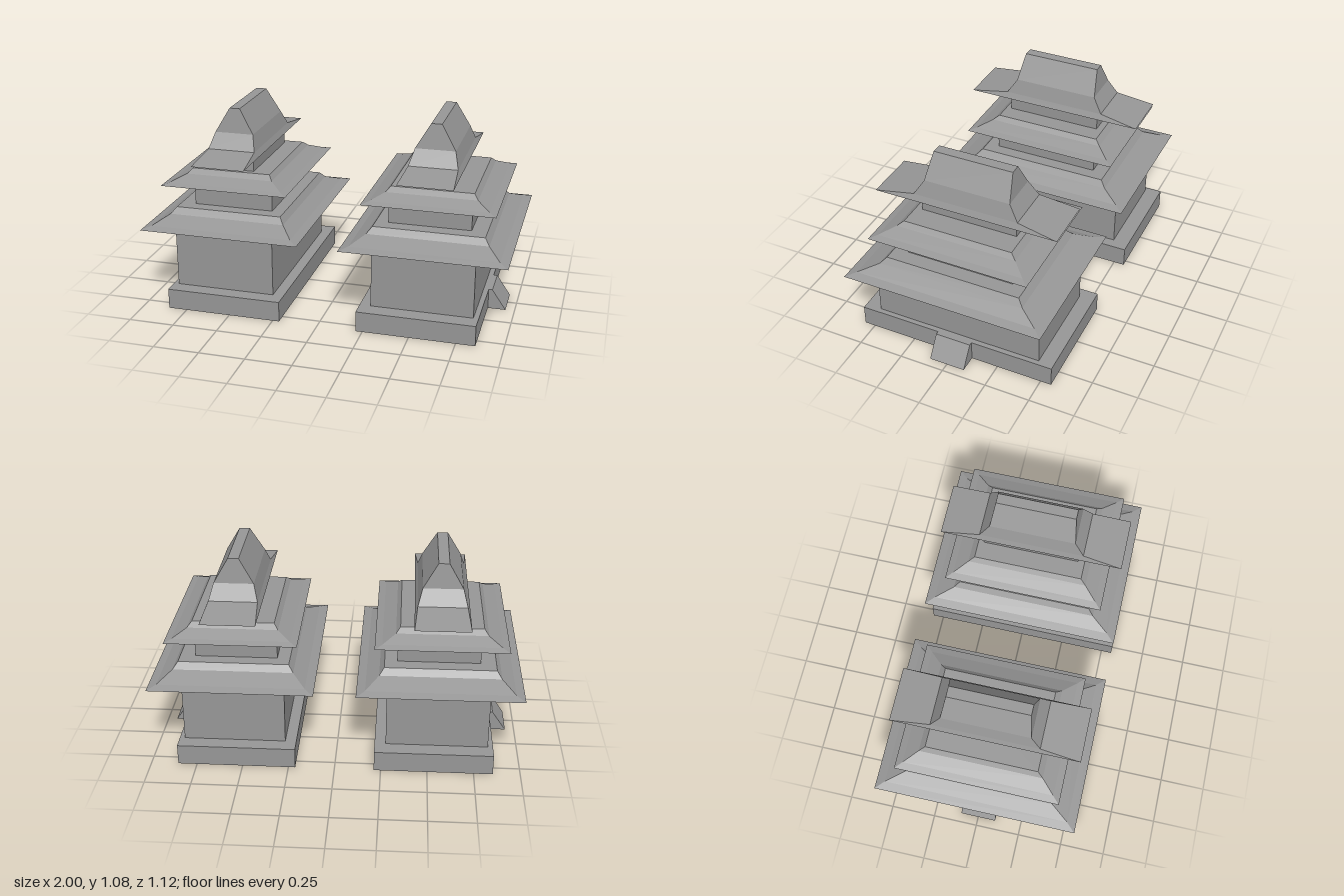
import * as THREE from 'three';

const material = new THREE.MeshStandardMaterial({ color: 0x969696, flatShading: true });

function addMesh(group, name, geometry, x = 0, y = 0, z = 0) {
  const mesh = new THREE.Mesh(geometry, material);
  mesh.name = name;
  mesh.position.set(x, y, z);
  group.add(mesh);
}

// Closed solid through stacked rectangles, each [halfWidth, halfDepth, y]
function loftRects(levels) {
  const positions = [];
  const index = [];
  for (const [w, d, y] of levels) {
    positions.push(-w, y, d, w, y, d, w, y, -d, -w, y, -d);
  }
  for (let l = 0; l < levels.length - 1; l++) {
    for (let i = 0; i < 4; i++) {
      const a = l * 4 + i, b = l * 4 + (i + 1) % 4;
      index.push(a, b, b + 4, a, b + 4, a + 4);
    }
  }
  const t = (levels.length - 1) * 4;
  index.push(0, 2, 1, 0, 3, 2, t, t + 1, t + 2, t, t + 2, t + 3);
  const indexed = new THREE.BufferGeometry();
  indexed.setAttribute('position', new THREE.Float32BufferAttribute(positions, 3));
  indexed.setIndex(index);
  const geometry = indexed.toNonIndexed();
  geometry.computeVertexNormals();
  return geometry;
}

function createTower() {
  const tower = new THREE.Group();

  // Plinth and storeys: x range, y range, depth, z centre
  const blocks = [
    ['plinth', 0.213, 0.853, 0, 0.113, 1.12, 0],
    ['lowerStorey', 0.273, 0.825, 0.113, 0.45, 0.946, -0.004],
    ['middleStorey', 0.325, 0.773, 0.52, 0.675, 0.606, -0.003],
    ['upperStorey', 0.437, 0.655, 0.73, 0.825, 0.54, -0.003],
  ];
  for (const [name, x0, x1, y0, y1, depth, z] of blocks) {
    addMesh(tower, name, new THREE.BoxGeometry(x1 - x0, y1 - y0, depth), (x0 + x1) / 2, (y0 + y1) / 2, z);
  }

  // Entrance ramp on the outer side of the plinth
  const ramp = new THREE.Shape([
    new THREE.Vector2(0.853, 0), new THREE.Vector2(0.95, 0),
    new THREE.Vector2(0.873, 0.113), new THREE.Vector2(0.853, 0.113),
  ]);
  addMesh(tower, 'entranceRamp', new THREE.ExtrudeGeometry(ramp, { depth: 0.2, bevelEnabled: false }), 0, 0, -0.1);

  // Flared hip roofs
  addMesh(tower, 'lowerRoof', loftRects([
    [0.444, 0.557, 0.446], [0.397, 0.508, 0.46], [0.326, 0.409, 0.5], [0.3, 0.378, 0.533],
  ]), 0.556);
  addMesh(tower, 'middleRoof', loftRects([
    [0.355, 0.445, 0.673], [0.316, 0.407, 0.685], [0.245, 0.335, 0.717], [0.222, 0.304, 0.742],
  ]), 0.559);

  // Tall top roof with long eaves at both ends
  addMesh(tower, 'topRoof', loftRects([
    [0.147, 0.511, 0.823], [0.132, 0.293, 0.857], [0.108, 0.24, 0.94], [0.029, 0.221, 1.075],
  ]), 0.556);
  return tower;
}

export function createModel() {
  const model = new THREE.Group();
  model.name = 'twinTowers';
  // The second tower is the first turned half round
  ['leftTower', 'rightTower'].forEach((name, i) => {
    const tower = createTower();
    tower.name = name;
    tower.rotation.y = i * Math.PI;
    model.add(tower);
  });
  return model;
}
